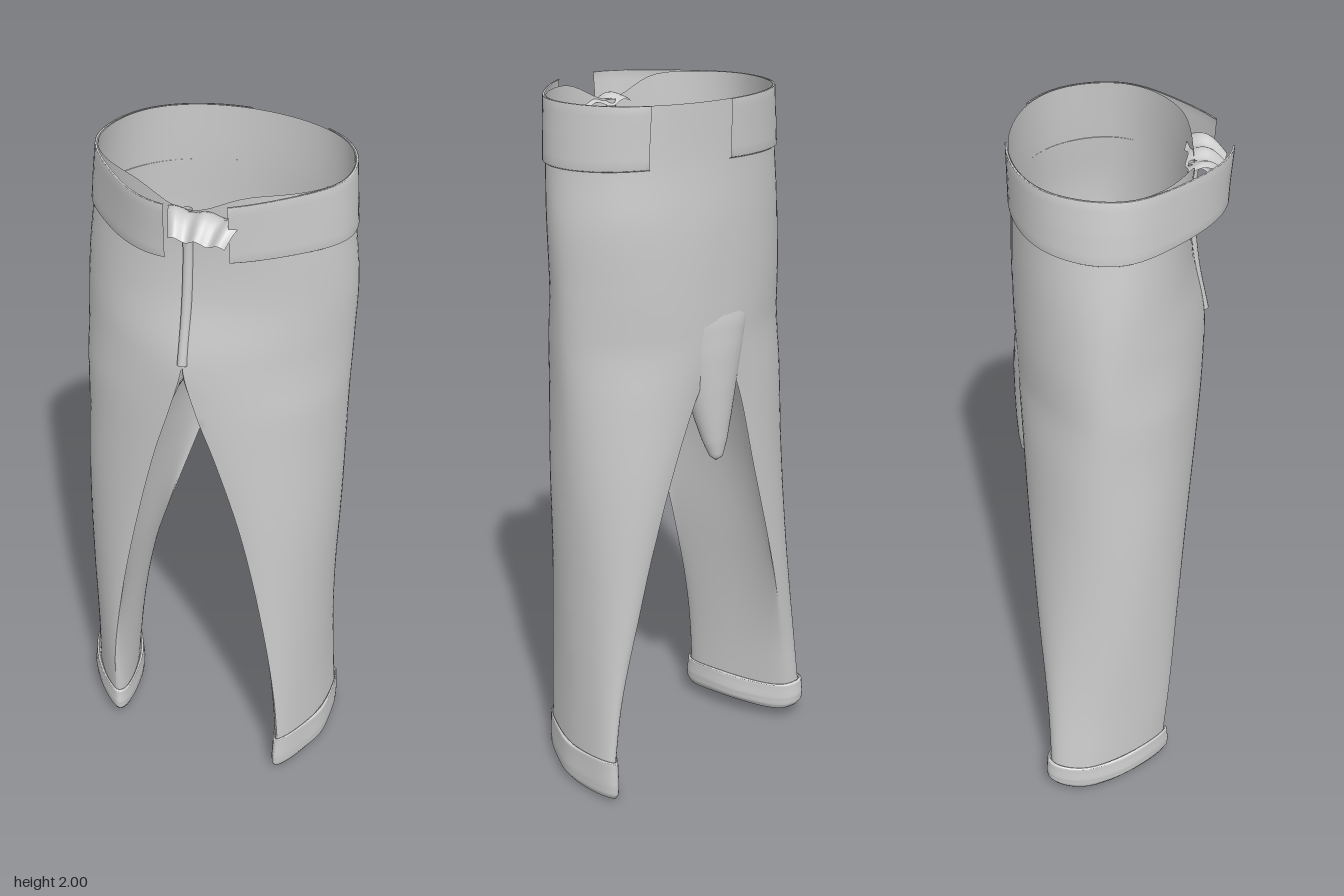
import * as THREE from 'three';
import { mergeGeometries, mergeVertices } from 'three/addons/utils/BufferGeometryUtils.js';

const material = new THREE.MeshStandardMaterial({ color: 0xcccccc, side: THREE.DoubleSide });
const { lerp, clamp, smoothstep } = THREE.MathUtils;
const SEAM = 0.04, FRONT_CROTCH = 1.5, BACK_CROTCH = 1.36;

// Leg sections, bottom to top: y, then x,z of the front, back, outer and inner points
const RIGHT = [
  [0.12, -0.24, 0.145, -0.335, -0.19, -0.397, -0.075, -0.228, 0],
  [0.3, -0.23, 0.16, -0.305, -0.2, -0.382, -0.06, -0.225, -0.02],
  [0.6, -0.185, 0.18, -0.22, -0.23, -0.37, -0.04, -0.215, -0.05],
  [0.95, -0.11, 0.205, -0.11, -0.258, -0.362, -0.03, -0.19, -0.05],
  [1.2, -0.045, 0.225, -0.035, -0.272, -0.355, -0.03, -0.13, -0.05],
  [1.36, 0.005, 0.235, 0.04, -0.285, -0.35, -0.03, -0.04, -0.05],
  [1.5, 0.04, 0.235, 0.04, -0.288, -0.343, -0.03, 0.04, -0.03],
  [1.68, 0.04, 0.2, 0.04, -0.29, -0.328, -0.03, 0.04, -0.03],
  [1.84, 0.04, 0.19, 0.04, -0.285, -0.305, -0.03, 0.04, -0.03],
  [2.0, 0.04, 0.2, 0.04, -0.285, -0.285, -0.03, 0.04, -0.03]
];
const LEFT = [
  [0.12, 0.315, 0.15, 0.365, -0.21, 0.388, -0.04, 0.298, -0.03],
  [0.3, 0.303, 0.16, 0.34, -0.21, 0.385, -0.05, 0.285, -0.03],
  [0.6, 0.265, 0.18, 0.28, -0.23, 0.388, -0.06, 0.268, -0.05],
  [0.95, 0.2, 0.205, 0.2, -0.258, 0.4, -0.06, 0.25, -0.05],
  [1.2, 0.13, 0.225, 0.115, -0.272, 0.403, -0.06, 0.195, -0.05],
  [1.36, 0.075, 0.235, 0.04, -0.285, 0.405, -0.06, 0.11, -0.05],
  [1.5, 0.04, 0.235, 0.04, -0.288, 0.407, -0.06, 0.04, -0.03],
  [1.68, 0.04, 0.2, 0.04, -0.29, 0.41, -0.06, 0.04, -0.03],
  [1.84, 0.04, 0.19, 0.04, -0.285, 0.397, -0.05, 0.04, -0.03],
  [2.0, 0.04, 0.2, 0.04, -0.285, 0.385, -0.05, 0.04, -0.03]
];

// Smooth section at any height, with both halves joined on the seam above the crotch
function sectionSampler(rows) {
  const curve = new THREE.CubicInterpolant(rows.map(r => r[0]), rows.flatMap(r => r.slice(1)), 8, new Float32Array(8));
  return y => {
    const s = Array.from(curve.evaluate(y));
    if (y >= FRONT_CROTCH) s[0] = s[6] = SEAM;
    if (y >= BACK_CROTCH) s[2] = SEAM;
    return s;
  };
}

// Point on a leg section: a runs 0..PI from front to back, on the outer or inner side
function legPoint(section, a, y, inner = false) {
  const [fx, fz, bx, bz, ox, oz, ix, iz] = section(y);
  const cx = (fx + bx) / 2, cz = (fz + bz) / 2;
  // flatter diagonals on the legs, fuller corners at the waist
  const power = lerp(1.09, 0.95, smoothstep(y, 1.4, 1.9));
  const c = Math.sign(Math.cos(a)) * Math.abs(Math.cos(a)) ** power;
  let s = Math.max(0, Math.sin(a)) ** power;
  if (!inner) s *= 1 + 0.01 * Math.sin(a) * Math.sin(5 * a + 4 * y);
  return new THREE.Vector3(
    cx + c * (fx - bx) / 2 + s * ((inner ? ix : ox) - cx), y,
    cz + c * (fz - bz) / 2 + s * ((inner ? iz : oz) - cz));
}

// Surface grid from a rule (u, v in 0..1) returning a point
function grid(rule, nu, nv, flip = false) {
  const pos = [], index = [];
  for (let j = 0; j <= nv; j++) for (let i = 0; i <= nu; i++) pos.push(...rule(i / nu, j / nv).toArray());
  for (let j = 0; j < nv; j++) for (let i = 0; i < nu; i++) {
    const a = j * (nu + 1) + i, b = a + 1, c = a + nu + 1, d = c + 1;
    index.push(...(flip ? [a, b, c, b, d, c] : [a, c, b, b, c, d]));
  }
  const g = new THREE.BufferGeometry();
  g.setAttribute('position', new THREE.Float32BufferAttribute(pos, 3));
  g.setIndex(index);
  return g;
}

function smooth(geos) {
  const g = mergeVertices(mergeGeometries(geos), 1e-4);
  g.computeVertexNormals();
  return g;
}

function addPart(group, name, geometry) {
  const mesh = new THREE.Mesh(geometry, material);
  mesh.name = name;
  group.add(mesh);
}

// Blend along a list of rows
function rowAt(rows, v) {
  const t = v * (rows.length - 1), i = Math.min(Math.floor(t), rows.length - 2);
  return rows[i].map((q, k) => lerp(q, rows[i + 1][k], t - i));
}

function outerShell(section, flip) {
  return grid((u, v) => {
    const a = u * Math.PI;
    const top = 2 - 0.06 * Math.exp(-((a / 0.3) ** 2));
    return legPoint(section, a, lerp(top, 0.12, v));
  }, 40, 70, flip);
}

// Hollowed inner leg wall, arching up to the crotch line
function innerWall(section, flip) {
  return grid((u, v) => {
    const p = legPoint(section, u * Math.PI, lerp(lerp(FRONT_CROTCH, BACK_CROTCH, u), 0.12, v), true);
    const pull = Math.max(0, 1 - v * 8) ** 2;
    if (u > 0 && u < 1) p.x = lerp(p.x, SEAM, pull);
    return p;
  }, 24, 60, flip);
}

// Rolled hem closed underneath
function cuff(section, lift, flip) {
  // y, scale, outward offset
  const rows = [[0.115, 1, -0.004], [0.13, 1, 0.004], [0.126, 1, 0.012], [0.1, 1, 0.013],
    [0.055, 1, 0.016], [0.025, 1, 0.014], [0.01, 1, 0.003], [0.006, 0.7, 0], [0.006, 0, 0]];
  const [fx, fz, bx, bz, ox, , ix] = section(0.12);
  const c = new THREE.Vector3((ox + ix + fx + bx) / 4, 0.12, (fz + bz) / 2);
  return smooth([grid((u, v) => {
    const [y, k, off] = rowAt(rows, v);
    const t = (u % 1) * Math.PI * 2;
    const p = t <= Math.PI ? legPoint(section, t, 0.12) : legPoint(section, 2 * Math.PI - t, 0.12, true);
    const d = p.clone().sub(c);
    p.copy(c).addScaledVector(d, k).addScaledVector(d.normalize(), off);
    p.y = y + lift * clamp((0.12 - y) / 0.08, 0, 1) + 0.004 * k * Math.sin(3 * t);
    return p;
  }, 48, 32, flip)]);
}

// Waistband panel lying on the body, flaring out at the front
function band(section, a0, a1) {
  const rows = [[2, 0.002], [2, 0.008], [1.95, 0.008], [1.9, 0.008], [1.85, 0.008], [1.845, 0]];
  return smooth([grid((u, v) => {
    const [y, off] = rowAt(rows, v);
    const a = lerp(a0, a1, u);
    const p = legPoint(section, a, y);
    const d = new THREE.Vector3(p.x - 0.05, 0, p.z + 0.03).normalize();
    p.addScaledVector(d, off);
    p.z += 0.09 * Math.max(0, Math.cos(a)) ** 5;
    if (y < 1.9) p.y -= 0.015 * Math.sin(a);
    return p;
  }, 40, 10)]);
}

// Sagging seat fold hanging between the legs: y, half width, front z, back z
function seatFold() {
  const rows = [[1.46, 0.08, -0.262, -0.28], [1.4, 0.1, -0.25, -0.291], [1.32, 0.098, -0.21, -0.297],
    [1.22, 0.08, -0.19, -0.298], [1.13, 0.058, -0.205, -0.296], [1.06, 0.038, -0.23, -0.292],
    [1.015, 0.02, -0.25, -0.286], [1, 0, -0.268, -0.268]];
  return smooth([grid((u, v) => {
    const [y, w, zf, zb] = rowAt(rows, v);
    const t = (u % 1) * Math.PI * 2;
    return new THREE.Vector3(SEAM + w * Math.sin(t), y, (zf + zb) / 2 + Math.cos(t) * (zf - zb) / 2);
  }, 28, 28)]);
}

// Folded cloth leaning out of the open waist at the front
function flyTab() {
  return smooth([grid((u, v) => {
    const w = lerp(0.12, 0.075, v), x = 0.1 + (u * 2 - 1) * w;
    const ripple = 0.007 * Math.sin(u * 16);
    return new THREE.Vector3(x, 1.93 + 0.03 * Math.sin(v * Math.PI) - 0.03 * v + ripple,
      lerp(0.175, 0.28, v) + ripple * 0.6);
  }, 24, 8, true)]);
}

export function createModel() {
  const group = new THREE.Group();
  group.name = 'trousers';
  const right = sectionSampler(RIGHT), left = sectionSampler(LEFT);

  addPart(group, 'trouserBody', smooth([
    outerShell(right, true), outerShell(left, false), innerWall(right, false), innerWall(left, true)]));
  addPart(group, 'rightCuff', cuff(right, 0.035, true));
  addPart(group, 'leftCuff', cuff(left, 0, false));
  addPart(group, 'rightWaistband', band(right, 0.05, Math.PI - 0.05));
  addPart(group, 'leftWaistband', band(left, 0.36, Math.PI - 0.62));
  addPart(group, 'seatFold', seatFold());
  addPart(group, 'flyTab', flyTab());

  // Raised fly seam down the front
  const fly = new THREE.CatmullRomCurve3([1.94, 1.8, 1.65, 1.5]
    .map(y => new THREE.Vector3(SEAM, y, right(y)[1] - 0.002)));
  addPart(group, 'flySeam', new THREE.TubeGeometry(fly, 24, 0.014, 10));
  return group;
}
